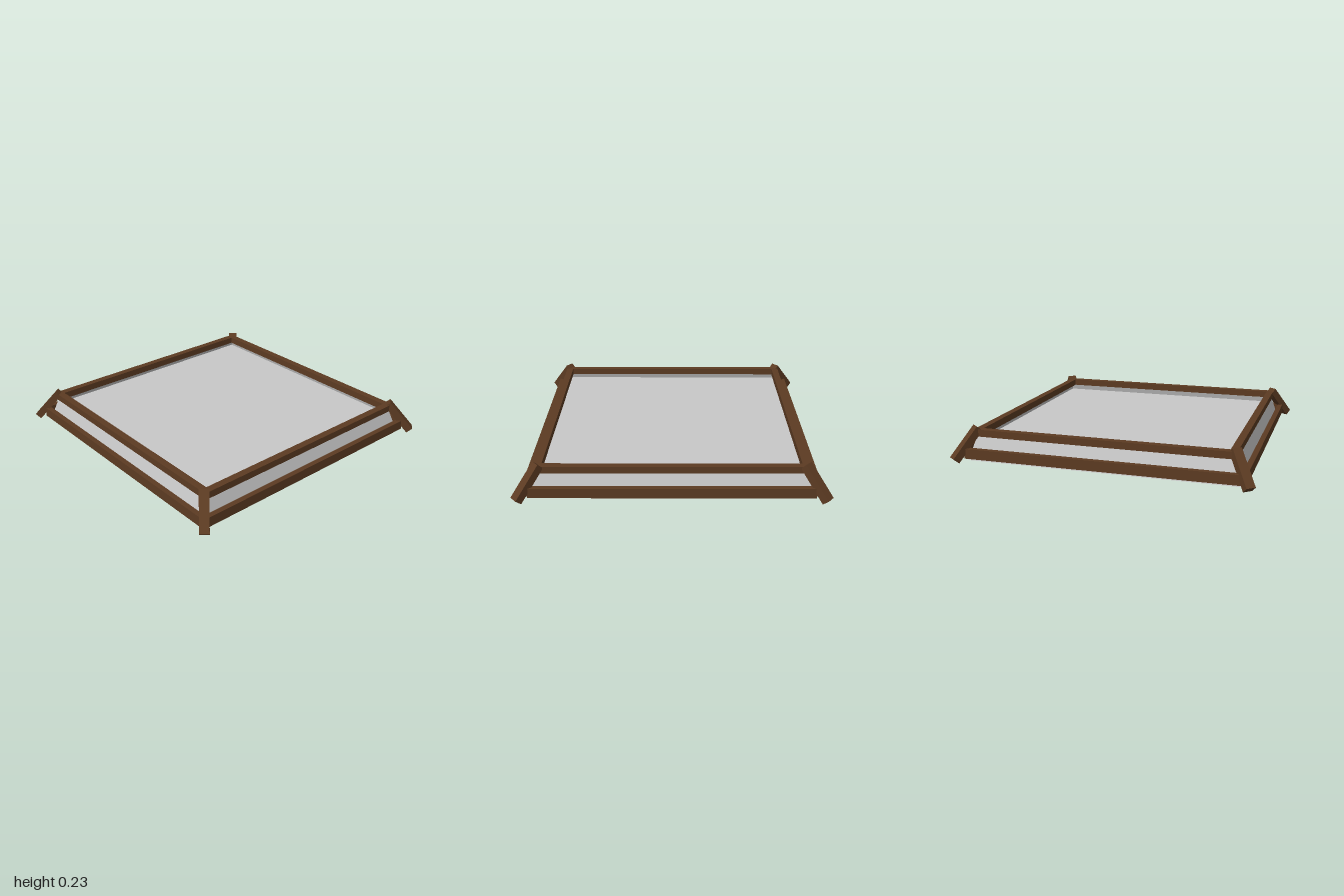
import * as THREE from 'three';

export function createModel() {
  const model = new THREE.Group();
  model.name = 'framedTray';

  const wood = new THREE.MeshStandardMaterial({ color: 0x5c3b22, flatShading: true });
  wood.name = 'dark wood';
  const glass = new THREE.MeshStandardMaterial({ color: 0xc8c8c8, flatShading: true, side: THREE.DoubleSide });
  glass.name = 'pale glass';

  const add = (name, geometry, material, x = 0, y = 0, z = 0) => {
    const mesh = new THREE.Mesh(geometry, material);
    mesh.name = name;
    mesh.position.set(x, y, z);
    model.add(mesh);
    return mesh;
  };

  // Square ring of four rails, one per side
  const rails = (name, half, y, length, height, depth) => {
    for (let i = 0; i < 4; i++) {
      const a = (i * Math.PI) / 2;
      const rail = add(name, new THREE.BoxGeometry(length, height, depth), wood,
        Math.sin(a) * half, y, Math.cos(a) * half);
      rail.rotation.y = a;
    }
  };
  rails('upperRail', 0.835, 0.188, 1.66, 0.046, 0.048);
  rails('lowerRail', 0.913, 0.064, 1.79, 0.066, 0.036);

  // Sloping panes, open at both ends
  const bottomHalf = 0.892, topHalf = 0.835, low = 0.01, high = 0.19;
  const walls = new THREE.CylinderGeometry(topHalf * Math.SQRT2, bottomHalf * Math.SQRT2, high - low, 4, 1, true);
  walls.rotateY(Math.PI / 4);
  add('sidePanes', walls, glass, 0, (low + high) / 2, 0);

  // Flat base and raised inner surface
  const flat = (name, half, y, turn) => {
    const plane = new THREE.PlaneGeometry(half * 2, half * 2).rotateX(turn);
    add(name, plane, glass, 0, y, 0);
  };
  flat('basePane', bottomHalf, low, Math.PI / 2);
  flat('innerFloor', 0.856, 0.12, -Math.PI / 2);

  // Leaning corner posts
  for (const sx of [-1, 1]) {
    for (const sz of [-1, 1]) {
      const post = add('cornerPost', new THREE.BoxGeometry(0.258, 0.05, 0.062), wood, 0.895 * sx, 0.12, 0.897 * sz);
      post.rotation.set(0, Math.atan2(-0.64 * sz, 0.77 * sx), -0.85, 'YXZ');
    }
  }

  return model;
}
